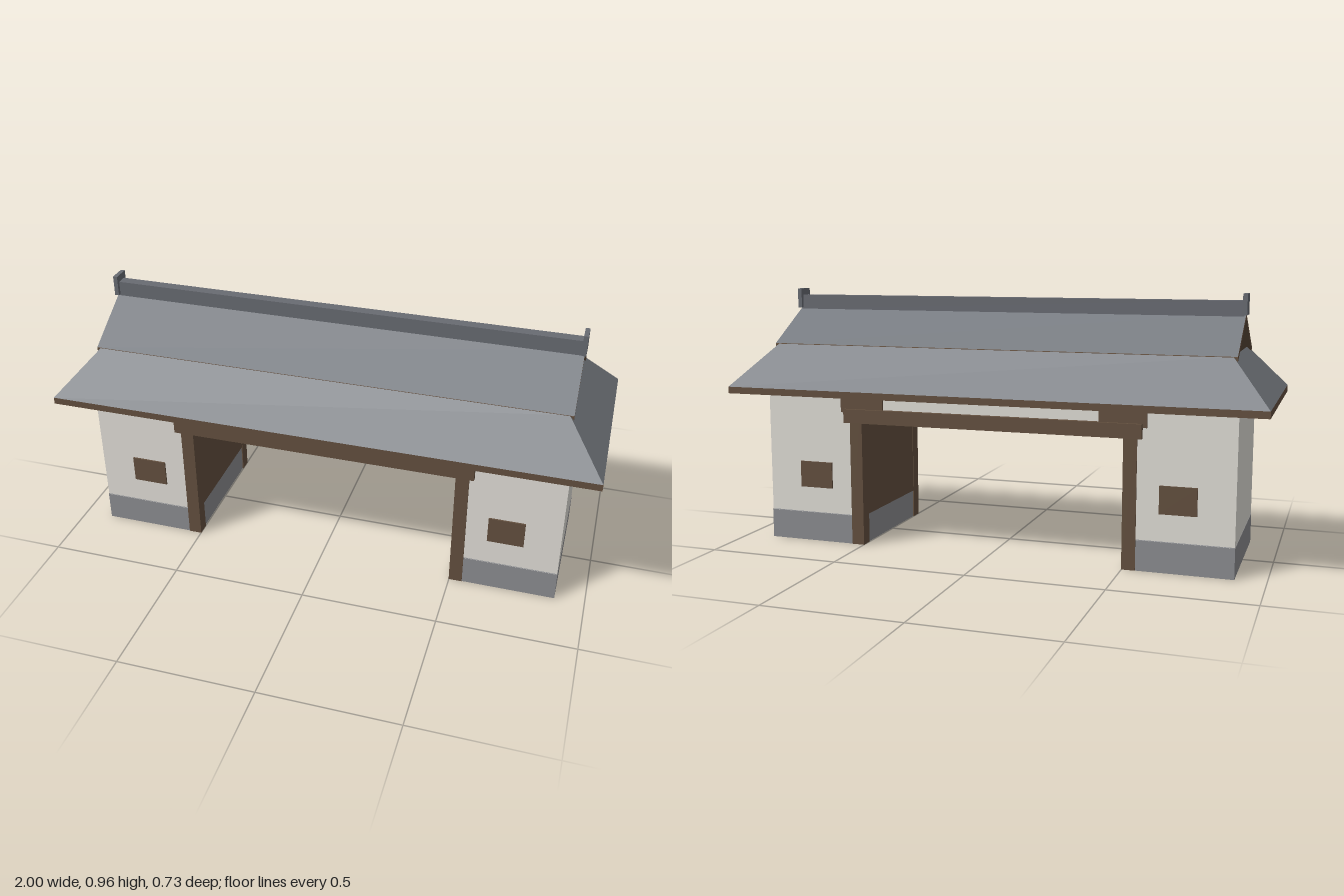
import * as THREE from 'three';

const material = (color, side = THREE.FrontSide) =>
  new THREE.MeshStandardMaterial({ color, side, flatShading: true });

const plaster = material(0xe2dfd8);
const plasterShell = material(0xe2dfd8, THREE.DoubleSide);
const stone = material(0x8c8d91, THREE.DoubleSide);
const wood = material(0x64503f);
const woodThin = material(0x64503f, THREE.DoubleSide);
const tile = material(0x787c82);
const ridgeTile = material(0x686b72);

// Box given by its minimum and maximum corners
function box(parent, name, mat, [x0, y0, z0], [x1, y1, z1]) {
  const mesh = new THREE.Mesh(new THREE.BoxGeometry(x1 - x0, y1 - y0, z1 - z0), mat);
  mesh.position.set((x0 + x1) / 2, (y0 + y1) / 2, (z0 + z1) / 2);
  mesh.name = name;
  parent.add(mesh);
  return mesh;
}

// Open band between rectangles [halfX, halfZ, y], facing outwards from first to last
function band(parent, name, mat, rings, centreX = 0) {
  const corners = [[1, 1], [1, -1], [-1, -1], [-1, 1]];
  const points = [];
  const faces = [];
  rings.forEach(([hx, hz, y], r) => {
    corners.forEach(([sx, sz], i) => {
      points.push(centreX + sx * hx, y, sz * hz);
      if (r === 0) return;
      const j = (i + 1) % 4;
      const a = (r - 1) * 4;
      const b = r * 4;
      faces.push(a + i, a + j, b + j, a + i, b + j, b + i);
    });
  });
  const indexed = new THREE.BufferGeometry();
  indexed.setAttribute('position', new THREE.Float32BufferAttribute(points, 3));
  indexed.setIndex(faces);
  const geometry = indexed.toNonIndexed();
  geometry.computeVertexNormals();
  const mesh = new THREE.Mesh(geometry, mat);
  mesh.name = name;
  parent.add(mesh);
  return mesh;
}

// Gatehouse block on one side of the passage
function addSide(root, s) {
  const side = new THREE.Group();
  side.name = s > 0 ? 'leftBlock' : 'rightBlock';
  root.add(side);
  // Box whose x range is mirrored to this side
  const sideBox = (name, mat, [x0, y0, z0], [x1, y1, z1]) =>
    box(side, name, mat, [Math.min(s * x0, s * x1), y0, z0], [Math.max(s * x0, s * x1), y1, z1]);

  sideBox('wall', plaster, [0.505, 0.112, -0.256], [0.89, 0.576, 0.256]);

  // Hollow plinth with a plaster lining and a stone top
  const cx = s * 0.697;
  band(side, 'plinth', stone, [[0.194, 0.258, 0], [0.194, 0.258, 0.11]], cx);
  band(side, 'plinthLining', plasterShell, [[0.191, 0.255, 0], [0.191, 0.255, 0.11]], cx);
  const cap = new THREE.Mesh(new THREE.PlaneGeometry(0.386, 0.514), stone);
  cap.rotation.x = -Math.PI / 2;
  cap.position.set(cx, 0.11, 0);
  cap.name = 'plinthTop';
  side.add(cap);

  sideBox('passagePanel', wood, [0.501, 0.11, -0.256], [0.507, 0.48, 0.256]);

  // Post, bracket and window on the front and back
  for (const f of [1, -1]) {
    const face = (name, x0, x1, y0, y1, z0, z1) =>
      sideBox(name, wood, [x0, y0, Math.min(f * z0, f * z1)], [x1, y1, Math.max(f * z0, f * z1)]);
    face('post', 0.499, 0.548, 0, 0.575, 0.212, 0.26);
    face('bracket', 0.412, 0.582, 0.508, 0.575, 0.24, 0.264);
    face('window', 0.628, 0.76, 0.21, 0.31, 0.25, 0.262);
  }
}

export function createModel() {
  const root = new THREE.Group();
  root.name = 'gatehouse';

  addSide(root, 1);
  addSide(root, -1);

  // Wall and ceiling above the passage
  box(root, 'lintelWall', plaster, [-0.505, 0.475, -0.255], [0.505, 0.576, 0.255]);
  box(root, 'passageCeiling', wood, [-0.505, 0.47, -0.254], [0.505, 0.476, 0.254]);
  for (const f of [1, -1]) {
    box(root, 'beam', wood, [-0.566, 0.47, f * 0.264 - 0.012], [0.566, 0.522, f * 0.264 + 0.012]);
  }

  // Hipped lower roof with its fascia and soffit
  band(root, 'soffit', woodThin, [[0.86, 0.23, 0.575], [1, 0.366, 0.575]]);
  band(root, 'fascia', wood, [[1, 0.366, 0.575], [1, 0.366, 0.6]]);
  band(root, 'lowerRoof', tile, [[1, 0.366, 0.6], [0.86, 0.22, 0.757]]);

  // Gabled upper roof: wooden boards below a tile surface
  const gable = new THREE.Shape([
    [0, 0.89], [-0.222, 0.756], [-0.222, 0.735], [0, 0.873], [0.222, 0.735], [0.222, 0.756],
  ].map(([z, y]) => new THREE.Vector2(z, y)));
  const boards = new THREE.Mesh(
    new THREE.ExtrudeGeometry(gable, { depth: 1.75, bevelEnabled: false }), wood);
  boards.geometry.translate(0, 0, -0.875);
  boards.rotation.y = Math.PI / 2;
  boards.name = 'upperRoofBoards';
  root.add(boards);

  const slopeAngle = Math.atan2(0.134, 0.222);
  for (const f of [1, -1]) {
    const slope = new THREE.Mesh(new THREE.PlaneGeometry(1.75, Math.hypot(0.222, 0.134)), tile);
    slope.rotation.x = f > 0 ? slopeAngle - Math.PI / 2 : -slopeAngle - Math.PI / 2;
    slope.position.set(0, 0.8245, f * 0.1115);
    slope.name = 'upperRoofTiles';
    root.add(slope);
  }

  // Ridge with an upright block at each end
  box(root, 'ridge', ridgeTile, [-0.87, 0.878, -0.02], [0.87, 0.935, 0.02]);
  for (const s of [1, -1]) {
    box(root, 'ridgeEnd', ridgeTile, [s * 0.873 - 0.008, 0.885, -0.033], [s * 0.873 + 0.008, 0.96, 0.033]);
  }
  return root;
}
